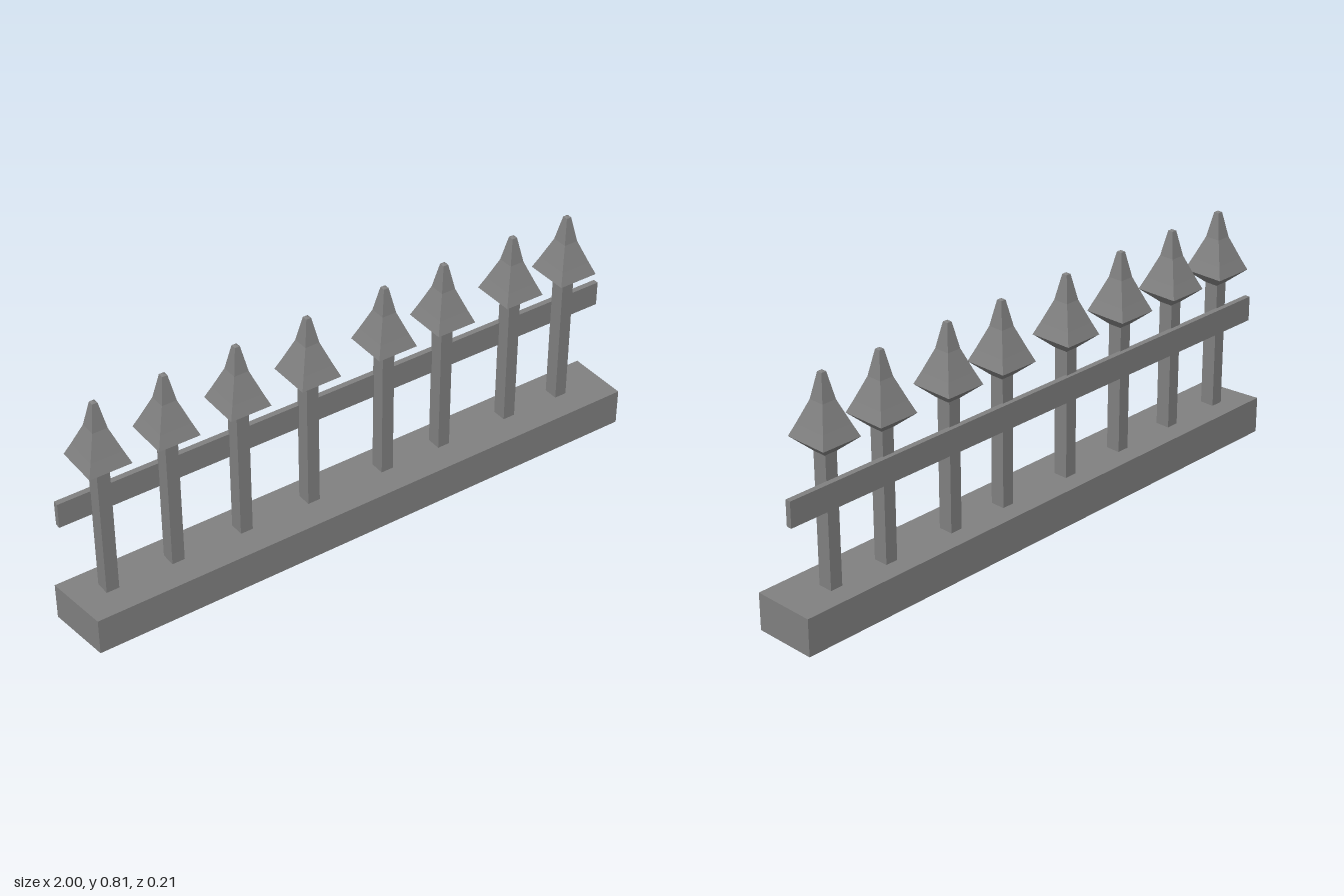
import * as THREE from 'three';

const material = new THREE.MeshStandardMaterial({
  color: 0x808080, flatShading: true, side: THREE.DoubleSide,
});

function addMesh(parent, name, geometry, x = 0, y = 0, z = 0) {
  const mesh = new THREE.Mesh(geometry, material);
  mesh.name = name;
  mesh.position.set(x, y, z);
  parent.add(mesh);
}

// Hollow plinth, open underneath, with one end cut slightly askew
function baseGeometry() {
  const geometry = new THREE.BoxGeometry(2, 0.125, 0.213);
  const pos = geometry.attributes.position;
  for (let i = 0; i < pos.count; i++) {
    if (pos.getX(i) < 0 && pos.getZ(i) > 0) pos.setX(i, -0.975);
  }
  // Drop the bottom face (fourth of the six box sides)
  const index = Array.from(geometry.index.array);
  index.splice(18, 6);
  geometry.setIndex(index);
  geometry.clearGroups();
  return geometry.toNonIndexed();
}

// Four-sided spearhead: half width and height for each ring
function spearheadGeometry() {
  const profile = [
    [0.023, 0.56], [0.073, 0.605], [0.056, 0.645],
    [0.026, 0.72], [0.009, 0.805], [0, 0.809],
  ].map(([half, y]) => new THREE.Vector2(half * Math.SQRT2, y));
  const geometry = new THREE.LatheGeometry(profile, 4);
  geometry.rotateY(Math.PI / 4);
  geometry.scale(0.96, 1, 1.02);
  return geometry.toNonIndexed();
}

export function createModel() {
  const fence = new THREE.Group();
  fence.name = 'fence';

  addMesh(fence, 'base', baseGeometry(), 0, 0.0625, 0);
  addMesh(fence, 'rail', new THREE.BoxGeometry(2, 0.085, 0.019), 0, 0.4375, -0.045);

  // Unevenly spaced pickets: x, z, small twist
  const pickets = [
    [-0.869, -0.013, 0], [-0.642, -0.013, 0], [-0.397, -0.015, 0], [-0.148, -0.017, 0.01],
    [0.13, -0.015, 0], [0.352, -0.015, 0], [0.617, -0.015, 0], [0.829, -0.011, 0],
  ];
  const postGeometry = new THREE.BoxGeometry(0.043, 0.445, 0.05);
  const headGeometry = spearheadGeometry();
  pickets.forEach(([x, z, twist], i) => {
    const picket = new THREE.Group();
    picket.name = `picket${i + 1}`;
    picket.position.set(x, 0, z);
    picket.rotation.y = twist;
    addMesh(picket, 'post', postGeometry, 0, 0.3425, 0);
    addMesh(picket, 'spearhead', headGeometry);
    fence.add(picket);
  });

  return fence;
}
